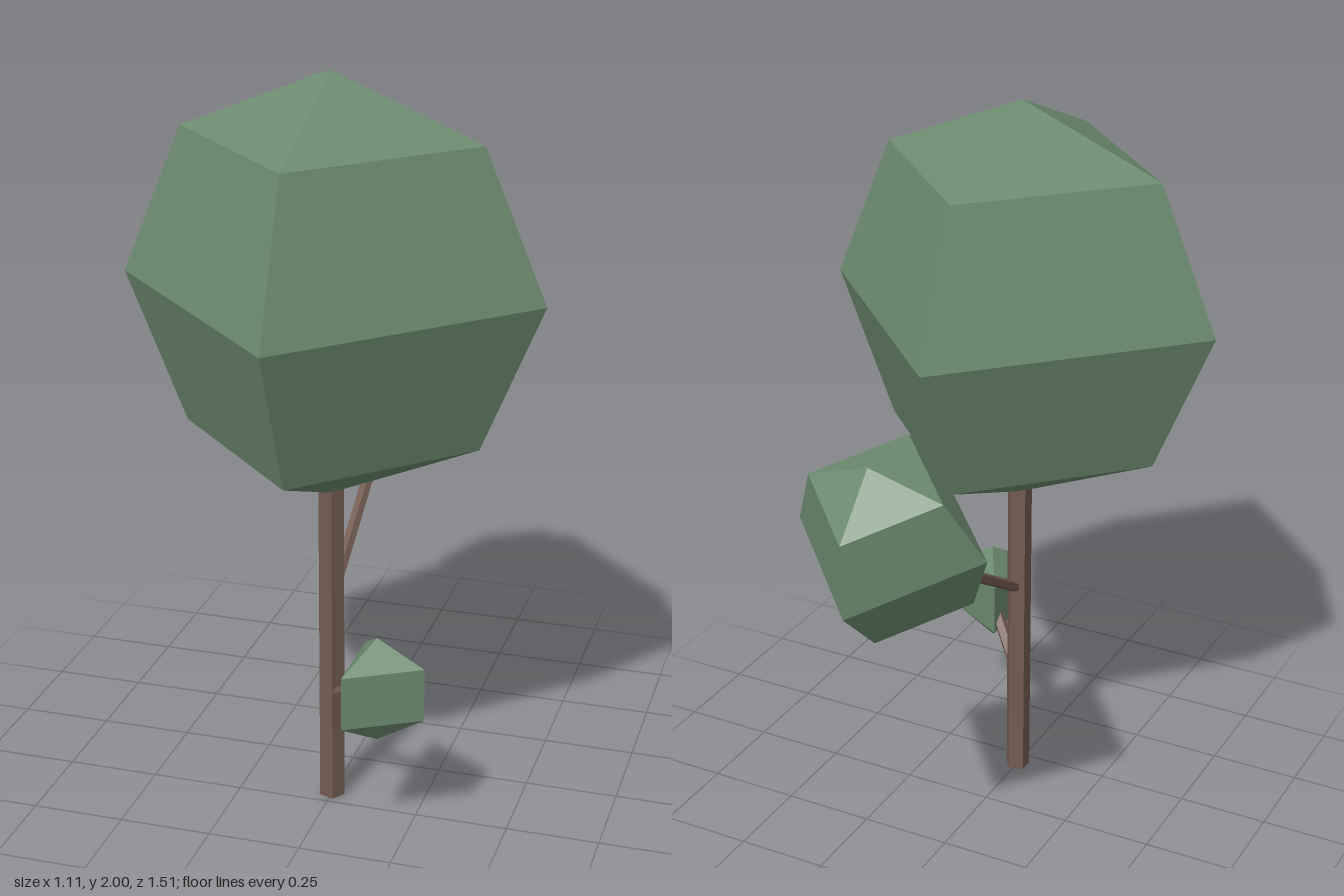
import * as THREE from 'three';

const leaf = new THREE.MeshStandardMaterial({ color: 0x6b8b6e, flatShading: true });
const bark = new THREE.MeshStandardMaterial({ color: 0x735b50, flatShading: true });

// Faceted foliage ball
function foliage(name, radius, sides, rings, position, rotation = [0, 0, 0]) {
  const mesh = new THREE.Mesh(new THREE.SphereGeometry(radius, sides, rings), leaf);
  mesh.name = name;
  mesh.position.set(...position);
  mesh.rotation.set(...rotation);
  return mesh;
}

// Five-sided stick between two points
function stick(name, radius, from, to) {
  const a = new THREE.Vector3(...from), b = new THREE.Vector3(...to);
  const dir = b.clone().sub(a);
  const geometry = new THREE.CylinderGeometry(radius, radius, dir.length(), 5);
  geometry.rotateY(Math.PI / 2);
  const mesh = new THREE.Mesh(geometry, bark);
  mesh.name = name;
  mesh.position.copy(a).add(b).multiplyScalar(0.5);
  mesh.quaternion.setFromUnitVectors(new THREE.Vector3(0, 1, 0), dir.normalize());
  return mesh;
}

export function createModel() {
  const tree = new THREE.Group();
  tree.name = 'tree';
  tree.add(
    // Trunk and its two branches
    stick('trunk', 0.035, [0, 0, 0.2], [0, 1.0, 0.2]),
    stick('backBranch', 0.016, [0, 0.587, 0.2], [0, 1.0, -0.465]),
    stick('frontBranch', 0.018, [0, 0.3, 0.2], [0.15, 0.42, 0.345]),
    // Large crown, tilted back crown and small side crown
    foliage('mainCrown', 0.555, 4, 4, [0, 1.445, 0.2]),
    foliage('backCrown', 0.265, 4, 4, [0, 1.07, -0.508], [-0.42, 0, 0]),
    foliage('smallCrown', 0.146, 3, 3, [0.18, 0.44, 0.39], [0, Math.PI, 0]),
  );
  return tree;
}
